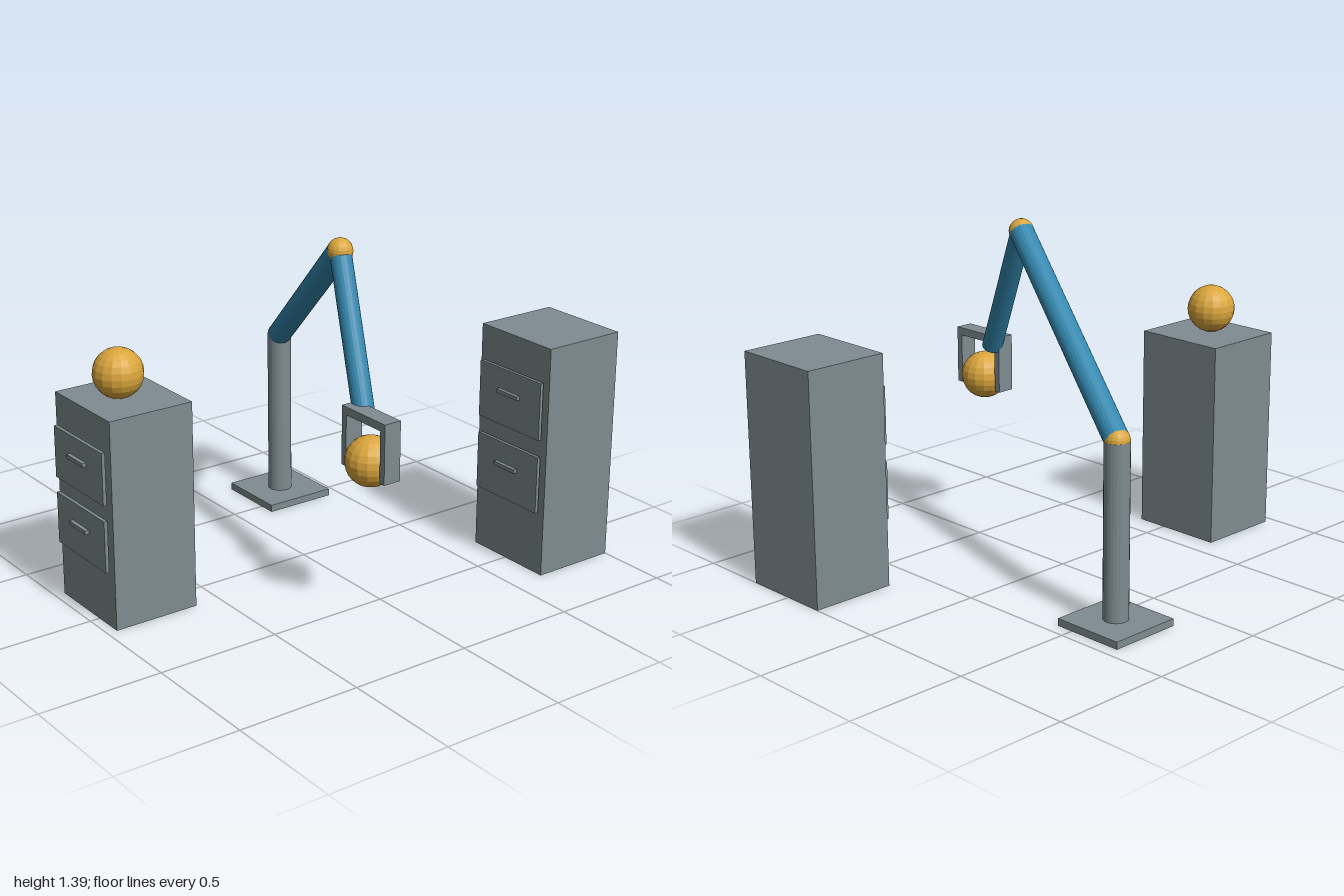
import * as THREE from 'three';

const grey = new THREE.MeshStandardMaterial({ name: 'steel grey', color: 0x7f8c91, flatShading: true });
const blue = new THREE.MeshStandardMaterial({ name: 'arm blue', color: 0x3387ae, flatShading: true });
const gold = new THREE.MeshStandardMaterial({ name: 'golden yellow', color: 0xdba63c, flatShading: true });

function add(parent, name, geometry, material, x, y, z) {
  const mesh = new THREE.Mesh(geometry, material);
  mesh.name = name;
  mesh.position.set(x, y, z);
  parent.add(mesh);
  return mesh;
}

const box = (parent, name, w, h, d, x, y, z) =>
  add(parent, name, new THREE.BoxGeometry(w, h, d), grey, x, y, z);

const ball = (parent, name, r, x, y, z) =>
  add(parent, name, new THREE.SphereGeometry(r, 16, 12), gold, x, y, z);

// Cylinder running from point a to point b
function rod(parent, name, a, b, r, material) {
  const dir = b.clone().sub(a);
  const mid = a.clone().add(b).multiplyScalar(0.5);
  const mesh = add(parent, name, new THREE.CylinderGeometry(r, r, dir.length(), 24), material, mid.x, mid.y, mid.z);
  mesh.quaternion.setFromUnitVectors(new THREE.Vector3(0, 1, 0), dir.normalize());
  return mesh;
}

// Cabinet with two drawers; its drawers face +z
function cabinet(name, height, x, z) {
  const group = new THREE.Group();
  group.name = name;
  group.position.set(x, 0, z);
  box(group, 'cabinetBody', 0.394, height, 0.355, 0, height / 2, 0);
  for (const f of [0.728, 0.405]) {
    const y = height * f;
    box(group, 'drawerFront', 0.349, height * 0.248, 0.014, 0, y, 0.195);
    box(group, 'drawerHandle', 0.118, 0.016, 0.016, 0, y + height * 0.0255, 0.21);
  }
  return group;
}

export function createModel() {
  const model = new THREE.Group();
  model.name = 'robotArmWorkcell';

  // Cabinets
  model.add(cabinet('frontCabinet', 0.838, -0.07, 0.782));
  model.add(cabinet('rearCabinet', 0.95, 0.515, -0.8225));
  ball(model, 'restingBall', 0.098, -0.07, 0.936, 0.8);

  // Arm on its pedestal
  const arm = new THREE.Group();
  arm.name = 'robotArm';
  model.add(arm);
  const shoulder = new THREE.Vector3(-0.58, 0.73, -0.295);
  const elbow = new THREE.Vector3(0.23, 1.338, 0);
  const wrist = new THREE.Vector3(0.52, 0.792, 0.104);
  const grip = new THREE.Vector3(0.604, 0.818, 0.138);
  box(arm, 'basePlate', 0.305, 0.03, 0.305, shoulder.x, 0.015, shoulder.z);
  rod(arm, 'column', new THREE.Vector3(shoulder.x, 0.03, shoulder.z), shoulder, 0.05, grey);
  ball(arm, 'shoulderJoint', 0.05, ...shoulder);
  rod(arm, 'upperArm', shoulder, elbow, 0.049, blue);
  ball(arm, 'elbowJoint', 0.05, ...elbow);
  rod(arm, 'forearm', elbow, wrist, 0.042, blue);
  rod(arm, 'wristLink', wrist, grip, 0.015, grey);

  // Gripper holding a ball
  const gripper = new THREE.Group();
  gripper.name = 'gripper';
  gripper.position.set(grip.x, 0, grip.z);
  arm.add(gripper);
  box(gripper, 'gripperBar', 0.255, 0.032, 0.073, 0, 0.82, 0);
  for (const s of [-1, 1])
    box(gripper, 'gripperFinger', 0.027, 0.204, 0.073, s * 0.114, 0.702, 0);
  ball(gripper, 'heldBall', 0.098, 0, 0.647, 0);

  return model;
}
